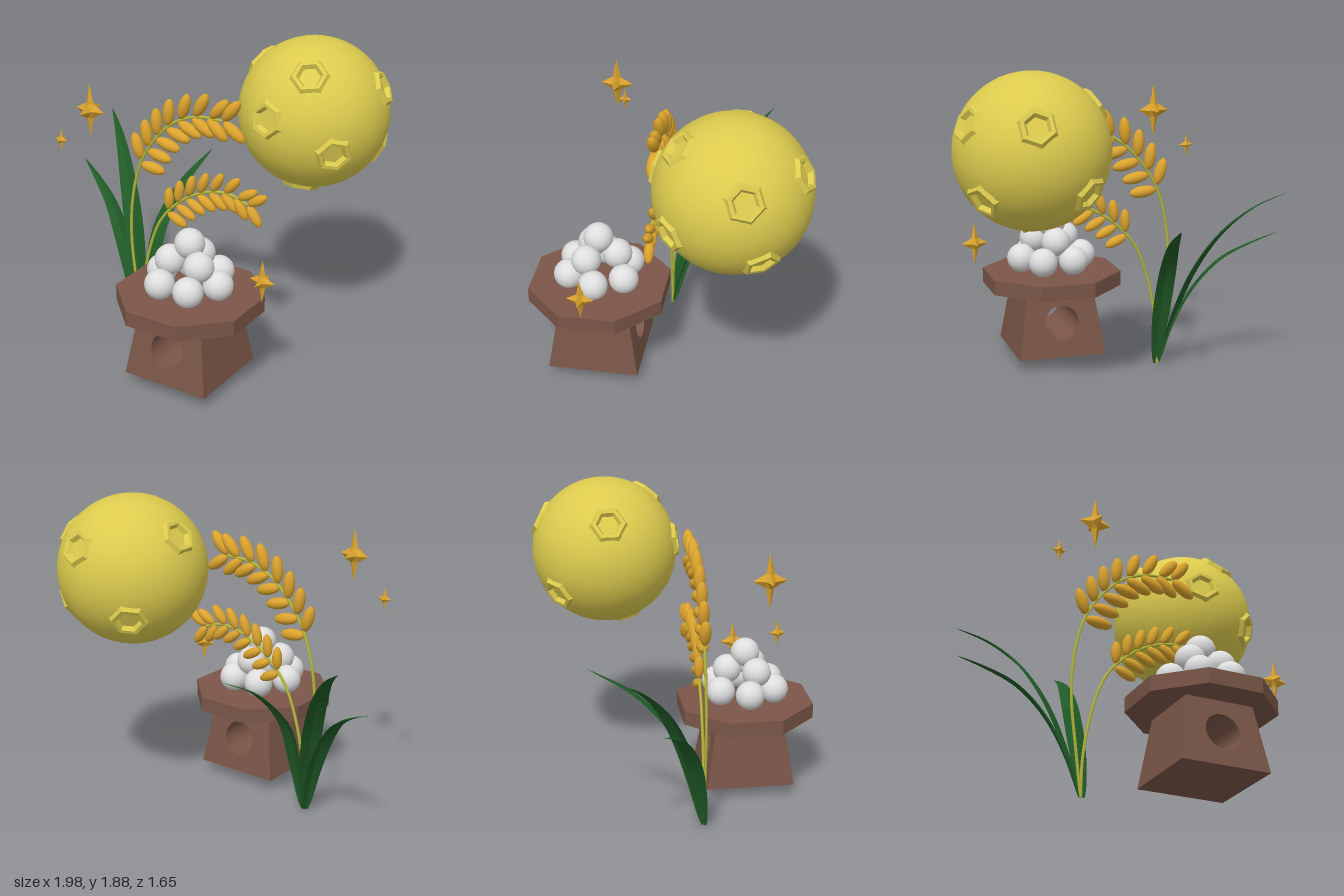
import * as THREE from 'three';

const V = (x, y, z) => new THREE.Vector3(x, y, z);
const mat = (name, color, side = THREE.FrontSide) => {
  const m = new THREE.MeshStandardMaterial({ color, side });
  m.name = name;
  return m;
};

// Faceted normals
function flat(g) {
  const f = g.index ? g.toNonIndexed() : g;
  f.computeVertexNormals();
  return f;
}

export function createModel() {
  const moonYellow = mat('moonYellow', 0xdccb4e);
  const gold = mat('gold', 0xdba32d);
  const stemGreen = mat('stemGreen', 0xb4b83a);
  const leafGreen = mat('leafGreen', 0x205a27, THREE.DoubleSide);
  const wood = mat('wood', 0x7b5648);
  const white = mat('white', 0xdedede);

  const model = new THREE.Group();
  const add = (name, geometry, material, parent = model) => {
    const m = new THREE.Mesh(geometry, material);
    m.name = name;
    parent.add(m);
    return m;
  };
  const group = (name, x = 0, y = 0, z = 0) => {
    const g = new THREE.Group();
    g.name = name;
    g.position.set(x, y, z);
    model.add(g);
    return g;
  };

  // Stand: tapered pedestal with a round hole, octagonal tray
  const stand = group('offeringStand', 0.23, 0, 0.428);
  const bottom = 0.08, top = 0.478, wide = 0.267, narrow = 0.205;
  const side = new THREE.Shape();
  side.moveTo(-wide, bottom);
  side.lineTo(wide, bottom);
  side.lineTo(narrow, top);
  side.lineTo(-narrow, top);
  side.closePath();
  const hole = new THREE.Path();
  hole.absarc(0, 0.285, 0.105, 0, Math.PI * 2, true);
  side.holes.push(hole);
  const pedestal = new THREE.ExtrudeGeometry(side, { depth: 2, bevelEnabled: false, curveSegments: 24 });
  pedestal.translate(0, 0, -1);
  const pp = pedestal.attributes.position;
  for (let i = 0; i < pp.count; i++) {
    const t = (pp.getY(i) - bottom) / (top - bottom);
    pp.setZ(i, pp.getZ(i) * THREE.MathUtils.lerp(wide, narrow, t));
  }
  add('pedestal', flat(pedestal), wood, stand);
  const tray = new THREE.CylinderGeometry(0.4275, 0.4275, 0.09, 8);
  tray.rotateY(Math.PI / 8);
  add('tray', flat(tray), wood, stand).position.y = 0.52;

  // Pyramid of dumplings: rings of six, three and one
  const pile = group('dumplings', 0.23, 0, 0.428);
  const ball = new THREE.SphereGeometry(0.087, 24, 16);
  for (const [count, radius, y, start] of [[6, 0.188, 0.652, 0], [3, 0.11, 0.762, Math.PI / 6], [1, 0, 0.862, 0]]) {
    for (let i = 0; i < count; i++) {
      const a = start + (i * Math.PI * 2) / count;
      add('dumpling', ball, white, pile).position.set(Math.cos(a) * radius, y, Math.sin(a) * radius);
    }
  }

  // Moon: sphere sunk under each crater, with raised polygonal rims
  const moon = group('moon', 0.548, 1.455, -0.387);
  const R = 0.434;
  const craters = [
    [-0.17, 0.15, 0.97, 6], [0.68, -0.25, 0.70, 6], [0.26, 0.72, 0.64, 6],
    [0.87, 0.42, -0.25, 6], [0.73, -0.51, -0.45, 5], [0.15, 0.44, -0.88, 6],
    [-0.82, 0.57, -0.01, 6], [-0.55, -0.46, -0.70, 6], [0, -0.95, 0.30, 6],
  ].map(([x, y, z, sides]) => ({ dir: V(x, y, z).normalize(), sides }));
  const sphere = new THREE.IcosahedronGeometry(R, 24);
  const sp = sphere.attributes.position;
  const p = V(0, 0, 0);
  for (let i = 0; i < sp.count; i++) {
    p.fromBufferAttribute(sp, i);
    if (craters.some((c) => p.angleTo(c.dir) * R < 0.082)) {
      p.multiplyScalar(0.9);
      sp.setXYZ(i, p.x, p.y, p.z);
    }
  }
  add('moonSphere', sphere, moonYellow, moon);
  const rimProfile = [[0.118, 0.412], [0.097, 0.445], [0.075, 0.443], [0.06, 0.417], [0.0001, 0.417]]
    .map(([r, h]) => new THREE.Vector2(r, h));
  for (const { dir, sides } of craters) {
    const rim = add('craterRim', flat(new THREE.LatheGeometry(rimProfile, sides)), moonYellow, moon);
    rim.quaternion.setFromUnitVectors(V(0, 1, 0), dir);
  }

  // Grass ears: curved stem with paired grains along its upper part
  const grainShape = new THREE.SphereGeometry(1, 14, 10);
  function ear(name, points, from, size) {
    const g = group(name);
    const curve = new THREE.CatmullRomCurve3(points.map(([x, y]) => V(x, y, 0.09)));
    add('stem', new THREE.TubeGeometry(curve, 60, 0.009, 7), stemGreen, g);
    const pairs = 8;
    for (let i = 0; i < pairs; i++) {
      const f = i / (pairs - 1);
      for (const s of [1, -1]) {
        const u = Math.min(1, from + (1 - from) * f + (s > 0 ? 0.012 : 0));
        const at = curve.getPointAt(u), t = curve.getTangentAt(u);
        const turn = s > 0 ? 42 + 6 * f : -74 + 36 * f;
        const a = Math.atan2(t.y, t.x) + THREE.MathUtils.degToRad(turn);
        const m = add('grain', grainShape, gold, g);
        m.scale.set(0.082 * size, 0.034 * size, 0.034 * size);
        m.rotation.z = a;
        m.position.set(at.x + Math.cos(a) * 0.088 * size, at.y + Math.sin(a) * 0.088 * size, 0.09);
      }
    }
  }
  ear('tallEar', [[-0.345, 0.01], [-0.38, 0.3], [-0.41, 0.6], [-0.395, 0.87], [-0.335, 1.1],
    [-0.24, 1.26], [-0.1, 1.4], [0.06, 1.47], [0.23, 1.48]], 0.6, 1.02);
  ear('shortEar', [[-0.345, 0.01], [-0.335, 0.25], [-0.285, 0.53], [-0.21, 0.74], [-0.13, 0.85],
    [0, 0.96], [0.15, 1.03], [0.28, 1.045], [0.4, 1.01]], 0.58, 0.87);

  // Leaves: tapering, gently folded blades
  function leaf(points, halfWidth) {
    const curve = new THREE.CatmullRomCurve3(points.map((q) => V(...q)));
    const a = points[0], b = points[points.length - 1];
    const across = V(-(b[2] - a[2]), 0, b[0] - a[0]).normalize();
    const steps = 24, pos = [], index = [];
    for (let i = 0; i <= steps; i++) {
      const t = i / steps;
      const c = curve.getPointAt(t);
      const w = halfWidth * (0.3 * (1 - t) + Math.pow(Math.sin(Math.PI * Math.pow(t, 0.85)), 0.8) * 0.9);
      const fold = curve.getTangentAt(t).cross(across).normalize().multiplyScalar(w * 0.3);
      for (const s of [-1, 0, 1]) {
        const q = c.clone().addScaledVector(across, s * w).addScaledVector(fold, s ? 0.5 : -0.5);
        pos.push(q.x, q.y, q.z);
      }
      if (i < steps) for (const k of [0, 1]) {
        const n = i * 3 + k;
        index.push(n, n + 1, n + 3, n + 1, n + 4, n + 3);
      }
    }
    const g = new THREE.BufferGeometry();
    g.setAttribute('position', new THREE.Float32BufferAttribute(pos, 3));
    g.setIndex(index);
    add('leaf', flat(g), leafGreen);
  }
  leaf([[-0.35, 0.01, 0.09], [-0.41, 0.3, 0.03], [-0.5, 0.6, -0.06], [-0.63, 0.86, -0.18],
    [-0.78, 1.04, -0.32], [-0.94, 1.155, -0.46]], 0.055);
  leaf([[-0.355, 0.01, 0.09], [-0.43, 0.27, 0.05], [-0.535, 0.5, 0], [-0.68, 0.69, -0.08],
    [-0.84, 0.795, -0.16], [-0.998, 0.87, -0.235]], 0.048);
  leaf([[-0.335, 0.01, 0.09], [-0.335, 0.3, 0.02], [-0.335, 0.62, -0.1], [-0.3, 0.84, -0.3],
    [-0.25, 0.99, -0.57]], 0.05);

  // Six-pointed sparkles: octahedron with its edge midpoints pulled in
  const star = new THREE.OctahedronGeometry(1, 1);
  const st = star.attributes.position;
  for (let i = 0; i < st.count; i++) {
    p.fromBufferAttribute(st, i);
    if (Math.max(Math.abs(p.x), Math.abs(p.y), Math.abs(p.z)) < 0.9) {
      p.multiplyScalar(0.36);
      st.setXYZ(i, p.x, p.y, p.z);
    }
  }
  flat(star);
  for (const [x, y, w, h] of [[-0.43, 1.52, 0.096, 0.162], [-0.645, 1.295, 0.044, 0.073], [0.704, 0.76, 0.079, 0.13]]) {
    const s = add('sparkle', star, gold);
    s.position.set(x, y, 0.436);
    s.scale.set(w, h, w);
  }

  return model;
}
